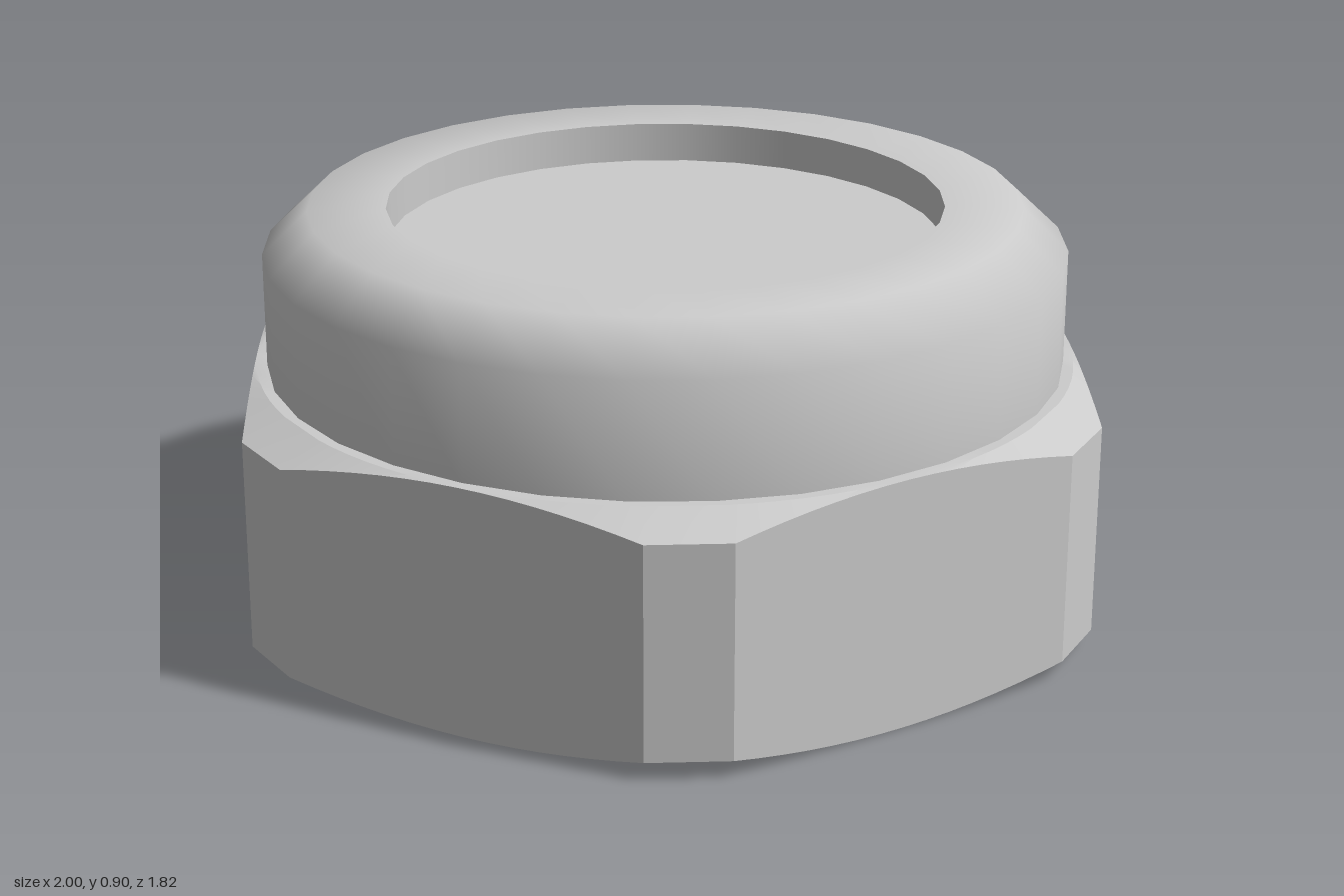
import * as THREE from 'three';
import { toCreasedNormals } from 'three/addons/utils/BufferGeometryUtils.js';

const BORE = 0.613, FLAT = 0.911, CORNER = 1.0, HEX_H = 0.555, DISC_Y = 0.815;

// Outline of the hexagon with its six corners cut off, sampled along each side.
function hexOutline(steps = 14) {
  const half = 0.09, pts = [];
  const turn = (x, z, a) => new THREE.Vector2(
    x * Math.cos(a) - z * Math.sin(a), x * Math.sin(a) + z * Math.cos(a));
  for (let k = 0; k < 6; k++) {
    const a = k * Math.PI / 3;
    pts.push(turn(CORNER, -half, a));
    const start = turn(CORNER, half, a), end = turn(CORNER, -half, a + Math.PI / 3);
    for (let i = 0; i < steps; i++) pts.push(start.clone().lerp(end, i / steps));
  }
  return pts;
}

// Hex body: rings from the bottom bore edge, out and up, to the top inner edge.
function hexGeometry() {
  const outline = hexOutline(), n = outline.length;
  const circle = (r, y) => outline.map(p => {
    const q = p.clone().setLength(r);
    return [q.x, y, q.y];
  });
  // conical chamfer: drop grows with distance from the axis
  const drop = p => Math.max(0, p.length() - FLAT) * 0.44;
  const rings = [
    circle(BORE, 0),
    circle(FLAT - 0.004, 0),
    outline.map(p => [p.x, drop(p), p.y]),
    outline.map(p => [p.x, HEX_H - drop(p), p.y]),
    circle(FLAT - 0.004, HEX_H),
    circle(0.86, HEX_H),
  ];
  const index = [];
  for (let j = 0; j < rings.length - 1; j++) {
    for (let i = 0; i < n; i++) {
      const a = j * n + i, b = j * n + (i + 1) % n;
      index.push(a, a + n, b, b, a + n, b + n);
    }
  }
  const g = new THREE.BufferGeometry();
  g.setAttribute('position', new THREE.Float32BufferAttribute(rings.flat(2), 3));
  g.setIndex(index);
  return toCreasedNormals(g, 0.3);
}

const lathe = pts => new THREE.LatheGeometry(pts.map(p => new THREE.Vector2(...p)), 32);

export function createModel() {
  const group = new THREE.Group();
  const grey = new THREE.MeshStandardMaterial({ color: 0xcccccc });
  const thin = new THREE.MeshStandardMaterial({ color: 0xcccccc, side: THREE.DoubleSide });
  const add = (name, geometry, material = grey) => {
    const mesh = new THREE.Mesh(geometry, material);
    mesh.name = name;
    group.add(mesh);
    return mesh;
  };

  add('hexBody', hexGeometry());

  // Rounded collar, shaded smoothly over its shoulder
  add('collar', lathe([[0.885, HEX_H - 0.01], [0.885, 0.81], [0.785, 0.905], [BORE, 0.905]]));

  // Wall of the bore and of the shallow recess on top
  add('boreWall', lathe([[BORE, 0.905], [BORE, 0]]));

  // Disc that closes the bore just under the top rim
  const disc = add('recessDisc', new THREE.CircleGeometry(BORE, 32), thin);
  disc.rotation.x = -Math.PI / 2;
  disc.position.y = DISC_Y;

  return group;
}
